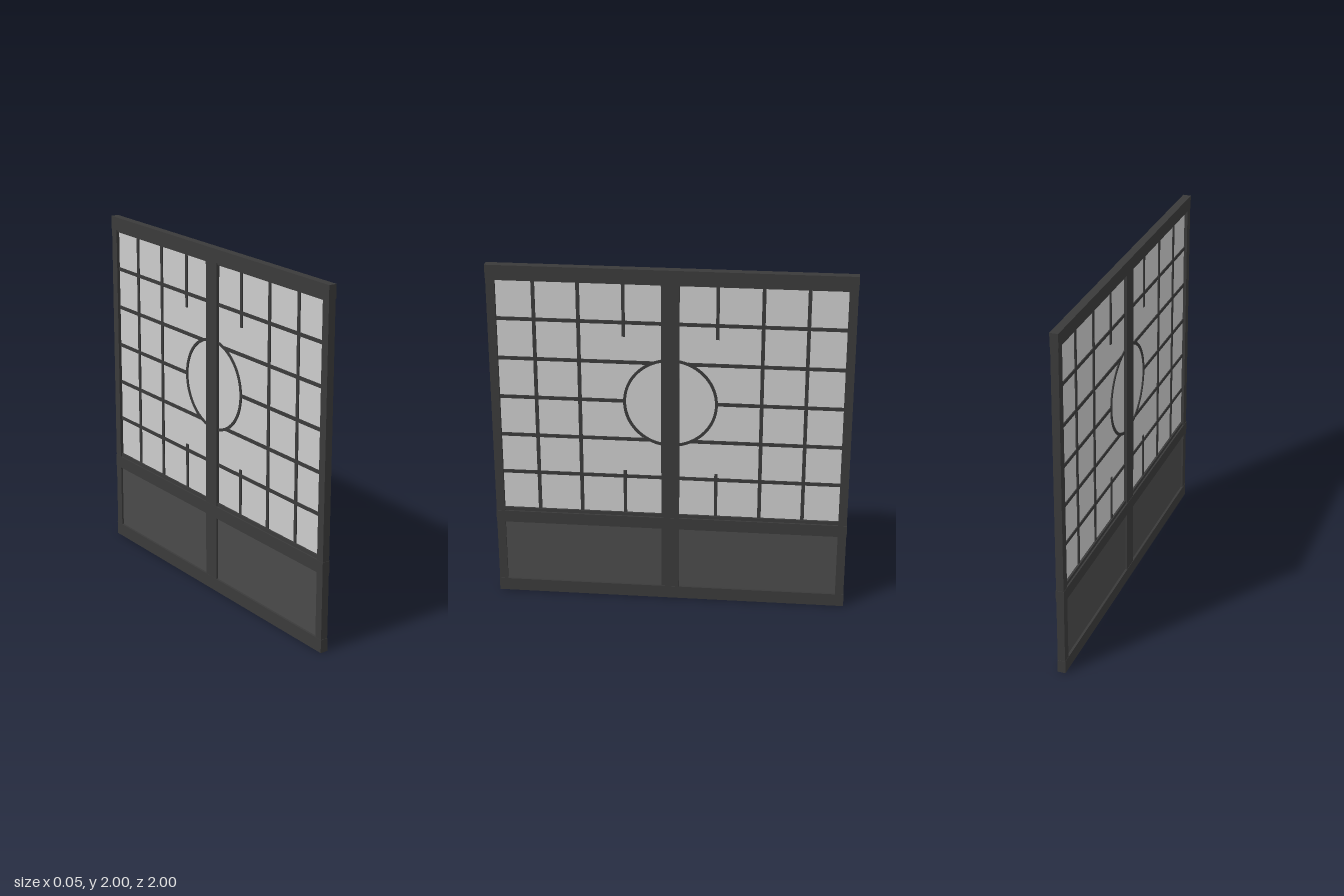
import * as THREE from 'three';

export function createModel() {
  const model = new THREE.Group();
  const frameMat = new THREE.MeshStandardMaterial({ color: 0x3a3a3a });
  const panelMat = new THREE.MeshStandardMaterial({ color: 0x4a4a4a });
  const paperMat = new THREE.MeshStandardMaterial({ color: 0xcccccc });

  // Box centred on x = 0, given by its depth and its z and y ranges
  function slab(name, depth, z0, z1, y0, y1, mat = frameMat) {
    const mesh = new THREE.Mesh(new THREE.BoxGeometry(depth, y1 - y0, Math.abs(z1 - z0)), mat);
    mesh.position.set(0, (y0 + y1) / 2, (z0 + z1) / 2);
    mesh.name = name;
    model.add(mesh);
  }

  // Rails across the full width, slightly proud of the stiles
  const railDepth = 0.046, stileDepth = 0.042, barDepth = 0.018, bar = 0.01;
  slab('topRail', railDepth, -1, 1, 1.925, 2);
  slab('middleRail', railDepth, -1, 1, 0.45, 0.52);
  slab('bottomRail', railDepth, -1, 1, 0, 0.075);

  // Stiles
  slab('centreStile', stileDepth, -0.05, 0.05, 0.01, 1.99);
  for (const s of [-1, 1]) slab('outerStile', stileDepth, s * 0.95, s * 0.998, 0.01, 1.99);

  // Moon ring in the middle of the lattice
  const ringY = 1.225, ringOuter = 0.262, ringInner = 0.246;
  const ringShape = new THREE.Shape().absarc(0, 0, ringOuter, 0, Math.PI * 2, false);
  ringShape.holes.push(new THREE.Path().absarc(0, 0, ringInner, 0, Math.PI * 2, true));
  const ringGeo = new THREE.ExtrudeGeometry(ringShape, { depth: barDepth, bevelEnabled: false, curveSegments: 48 });
  ringGeo.translate(0, 0, -barDepth / 2).rotateY(Math.PI / 2);
  const ring = new THREE.Mesh(ringGeo, frameMat);
  ring.position.y = ringY;
  ring.name = 'moonRing';
  model.add(ring);

  // Each door leaf: paper, lower board, beads and lattice
  for (const s of [-1, 1]) {
    const inner = s * 0.05, outer = s * 0.95;
    slab('paper', 0.006, inner, outer, 0.52, 1.925, paperMat);
    slab('lowerBoard', 0.02, inner, outer, 0.075, 0.45, panelMat);
    slab('topBead', 0.028, inner, outer, 1.912, 1.925);
    slab('bottomBead', 0.028, inner, outer, 0.52, 0.54);

    // Long and short vertical bars
    for (const z of [0.745, 0.502]) slab('verticalBar', barDepth, s * z - bar, s * z + bar, 0.54, 1.912);
    const short = s * 0.256;
    slab('upperShortBar', barDepth, short - 0.009, short + 0.009, 1.61, 1.912);
    slab('lowerShortBar', barDepth, short - 0.009, short + 0.009, 0.54, 0.802);

    // Horizontal bars stop at the ring where they meet it
    for (let i = 0; i < 5; i++) {
      const y = 0.767 + i * 0.231, dy = y - ringY;
      const reach = Math.sqrt(Math.max(0, 0.254 ** 2 - dy * dy));
      slab('horizontalBar', barDepth - 0.001, s * Math.max(0.05, reach), outer, y - bar, y + bar);
    }
  }
  return model;
}
